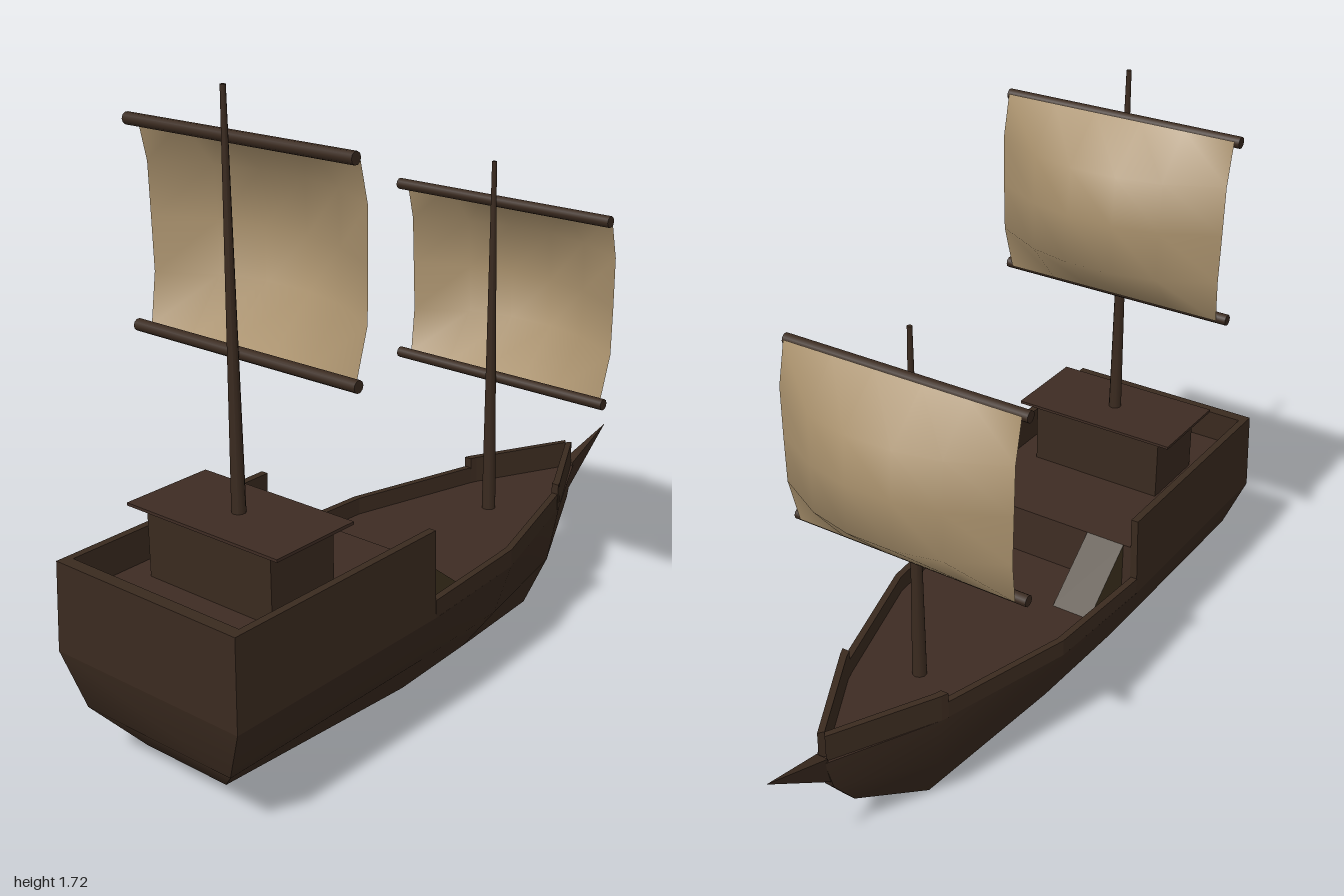
import * as THREE from 'three';
import { toCreasedNormals } from 'three/addons/utils/BufferGeometryUtils.js';

const mat = (name, color, side = THREE.FrontSide) => {
  const m = new THREE.MeshStandardMaterial({ color, side });
  m.name = name;
  return m;
};

export function createModel() {
  const ship = new THREE.Group();
  ship.name = 'sailingShip';
  const hullWood = mat('hull wood', 0x3a2a1f);
  const deckWood = mat('deck wood', 0x3e2c23);
  const stairWood = mat('stair wood', 0x40331f);
  const canvas = mat('sail canvas', 0xa8906c, THREE.DoubleSide);

  const add = (name, geo, material, parent = ship) => {
    const m = new THREE.Mesh(geo, material);
    m.name = name;
    parent.add(m);
    return m;
  };
  const box = (name, x0, x1, y0, y1, z0, z1, material) => add(name,
    new THREE.BoxGeometry(x1 - x0, y1 - y0, z1 - z0)
      .translate((x0 + x1) / 2, (y0 + y1) / 2, (z0 + z1) / 2), material);
  const mesh = (pts, idx) => {
    const g = new THREE.BufferGeometry();
    g.setAttribute('position', new THREE.Float32BufferAttribute(pts.flat(), 3));
    g.setIndex(idx);
    g.computeVertexNormals();
    return g;
  };

  // Hull: stations from stern to bow, each with [half width, y, z] at rim, bilge and bottom
  const stations = [
    [[0.31, 0.32, 1.0], [0.25, 0.17, 0.97], [0.14, 0.06, 0.88]],
    [[0.31, 0.32, 0.27], [0.25, 0.17, 0.25], [0.15, 0.03, 0.22]],
    [[0.285, 0.32, -0.09], [0.23, 0.16, -0.09], [0.13, 0.025, -0.08]],
    [[0.165, 0.32, -0.5], [0.14, 0.15, -0.48], [0.08, 0, -0.45]],
    [[0.015, 0.32, -0.8], [0.015, 0.22, -0.77], [0.015, 0.12, -0.69]],
  ];
  const rings = stations.map(s => [...s, ...[...s].reverse().map(([x, y, z]) => [-x, y, z])]);
  const hullIdx = [], deckIdx = [];
  for (let i = 0; i < 4; i++) {
    for (let j = 0; j < 5; j++) {
      const a = i * 6 + j, c = a + 6;
      hullIdx.push(a, a + 1, c, a + 1, c + 1, c);
    }
    const p = i * 6;
    deckIdx.push(p, p + 6, p + 11, p, p + 11, p + 5);
  }
  // Transom and stem caps
  for (let k = 0; k < 2; k++) {
    hullIdx.push(5 - k, 4 - k, k + 1, 5 - k, k + 1, k);
    const o = 24;
    hullIdx.push(o + 5 - k, o + k + 1, o + 4 - k, o + 5 - k, o + k, o + k + 1);
  }
  const points = rings.flat();
  add('hull', toCreasedNormals(mesh(points, hullIdx), 0.85), hullWood);
  add('mainDeck', mesh(points, deckIdx).toNonIndexed(), deckWood).geometry.computeVertexNormals();

  // Bulwarks: plan outlines in [x, z] raised to a height
  const wall = (name, outline, y0, y1) => {
    const shape = new THREE.Shape(outline.map(([x, z]) => new THREE.Vector2(x, -z)));
    const g = new THREE.ExtrudeGeometry(shape, { depth: y1 - y0, bevelEnabled: false });
    g.rotateX(-Math.PI / 2).translate(0, y0, 0);
    return add(name, g, hullWood);
  };
  const stern = wall('sternBulwark', [[0.31, 0.275], [0.31, 1], [-0.31, 1], [-0.31, 0.275],
    [-0.288, 0.275], [-0.288, 0.965], [0.288, 0.965], [0.288, 0.275]], 0.32, 0.565);
  const sp = stern.geometry.attributes.position;
  for (let i = 0; i < sp.count; i++) {
    if (sp.getY(i) > 0.5) sp.setXYZ(i, sp.getX(i) * 0.983, sp.getY(i), sp.getZ(i) * 0.991);
  }
  stern.geometry.computeVertexNormals();
  for (const s of [1, -1]) {
    const side = s > 0 ? 'left' : 'right';
    const flip = pts => pts.map(([x, z]) => [x * s, z]);
    wall(side + 'Bulwark', flip([[0.31, 0.275], [0.285, -0.09], [0.165, -0.5],
      [0.145, -0.5], [0.265, -0.09], [0.29, 0.275]]), 0.32, 0.37);
    wall(side + 'BowBulwark', flip([[0.173, -0.48], [0.165, -0.5], [0.012, -0.79],
      [0, -0.775], [0.143, -0.5], [0.15, -0.48]]), 0.32, 0.4);

    // Sloped stairs up to the stern deck
    const wedge = new THREE.Shape([[0.09, 0.32], [0.275, 0.32], [0.275, 0.47]]
      .map(p => new THREE.Vector2(...p)));
    const g = new THREE.ExtrudeGeometry(wedge, { depth: 0.12, bevelEnabled: false });
    g.rotateY(-Math.PI / 2).translate(s > 0 ? 0.26 : -0.14, 0, 0);
    add(side + 'Stair', g, stairWood);
  }

  // Stern deck and cabin
  box('sternDeck', -0.29, 0.29, 0.32, 0.47, 0.275, 0.97, deckWood);
  box('cabin', -0.21, 0.21, 0.47, 0.66, 0.555, 0.775, hullWood);
  box('cabinRoof', -0.255, 0.255, 0.66, 0.668, 0.53, 0.8, deckWood);

  // Beak: four-sided spike beyond the bow
  add('beak', mesh([[-0.018, 0.33, -0.79], [0.018, 0.33, -0.79], [0.012, 0.24, -0.775],
    [-0.012, 0.24, -0.775], [0, 0.395, -1]],
    [0, 1, 4, 1, 2, 4, 2, 3, 4, 3, 0, 4, 0, 3, 2, 0, 2, 1]).toNonIndexed(), hullWood)
    .geometry.computeVertexNormals();

  // Rig: mast, two yards and a billowing sail
  const rig = (name, mastZ, y0, y1, yardZ, low) => {
    const group = new THREE.Group();
    group.name = name;
    ship.add(group);
    add('mast', new THREE.CylinderGeometry(0.007, 0.021, y1 - y0, 10)
      .translate(0, (y0 + y1) / 2, mastZ), hullWood, group);
    for (const y of [low, low + 0.522]) {
      add('yard', new THREE.CylinderGeometry(0.016, 0.016, 0.73, 10)
        .rotateZ(Math.PI / 2).translate(0, y, yardZ), hullWood, group);
    }
    const rows = [[0.53, 0, 0.355], [0.41, 0.95, 0.355], [0.27, 1, 0.353], [0.13, 1, 0.35], [0, 0, 0.34]];
    const cols = [[-1, 0.028], [-0.57, 0.108], [-0.2, 0.138], [0.2, 0.138], [0.57, 0.108], [1, 0.028]];
    const pts = [], idx = [];
    rows.forEach(([y, b, w], r) => cols.forEach(([x, d], c) => {
      pts.push([x * w, low + y, yardZ - 0.022 - b * d]);
      if (r < 4 && c < 5) {
        const a = r * 6 + c;
        idx.push(a, a + 6, a + 1, a + 1, a + 6, a + 7);
      }
    }));
    add('sail', mesh(pts, idx), canvas, group);
  };
  rig('sternRig', 0.665, 0.47, 1.715, 0.633, 1.068);
  rig('bowRig', -0.37, 0.32, 1.365, -0.402, 0.722);
  return ship;
}
